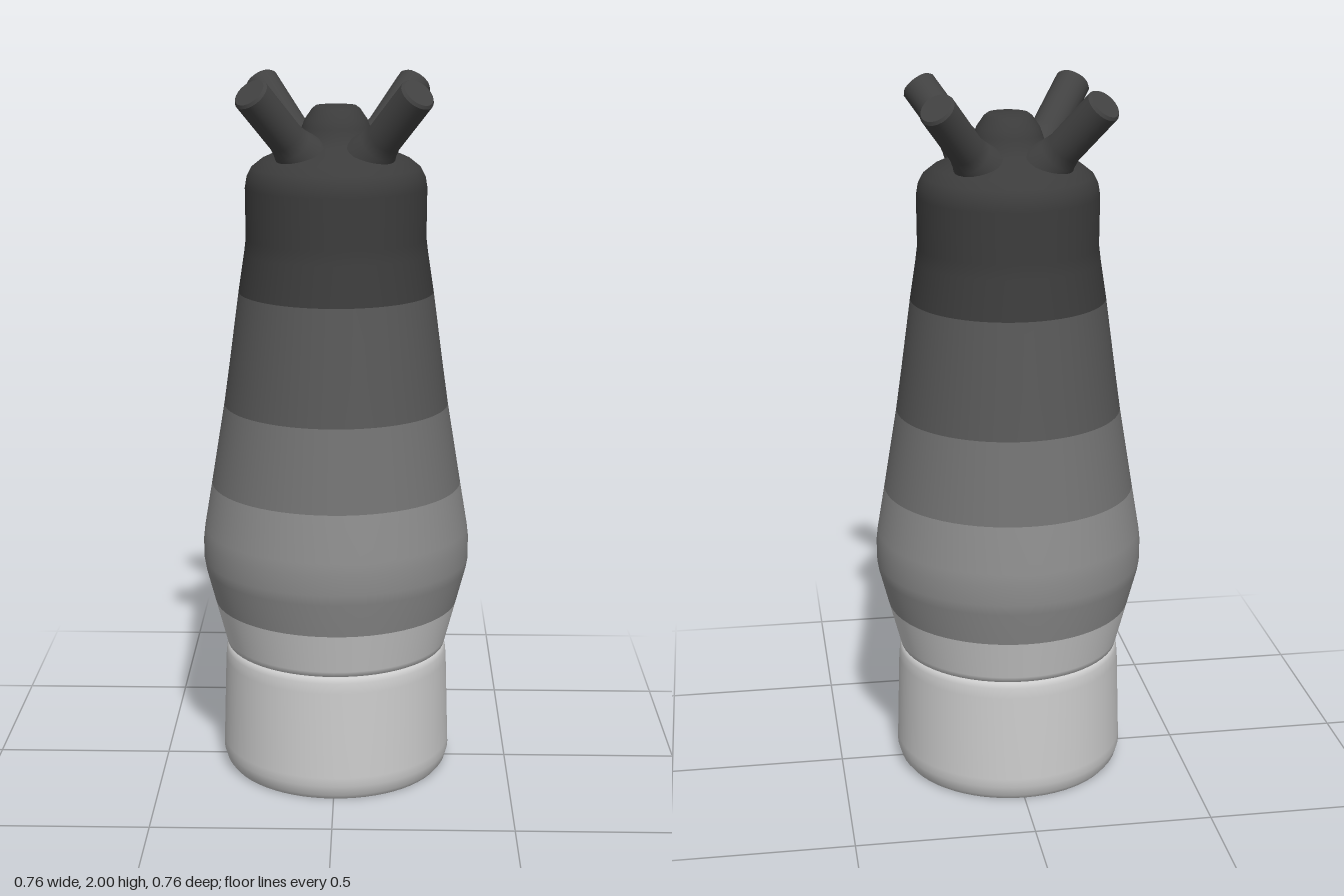
import * as THREE from 'three';

const SIDES = 64;

// Turned part from [radius, y] pairs; a repeated pair makes a crisp edge
function turned(name, color, profile, sides = SIDES) {
  const points = profile.map(([r, y]) => new THREE.Vector2(r, y));
  const mesh = new THREE.Mesh(
    new THREE.LatheGeometry(points, sides),
    new THREE.MeshStandardMaterial({ color, side: THREE.DoubleSide })
  );
  mesh.name = name;
  return mesh;
}

export function createModel() {
  const model = new THREE.Group();
  model.name = 'fourSpoutVessel';

  // Base cup with bevelled foot and rounded lip
  model.add(turned('base', 0xcccccc, [
    [0, 0], [0.31, 0], [0.31, 0], [0.322, 0.015], [0.331, 0.045], [0.33, 0.07],
    [0.322, 0.32], [0.319, 0.35], [0.313, 0.364], [0.30, 0.367],
  ]));

  // Body, shaded in bands from light at the seam to dark at the shoulder
  const body = new THREE.Group();
  body.name = 'body';
  const bands = [
    [0xbcbcbc, [[0.30, 0.368], [0.316, 0.37], [0.32, 0.385], [0.35, 0.50]]],
    [0x8c8c8c, [[0.35, 0.50], [0.376, 0.60], [0.381, 0.63], [0.381, 0.685],
      [0.377, 0.72], [0.355, 0.85]]],
    [0x727272, [[0.355, 0.85], [0.317, 1.08]]],
    [0x585858, [[0.317, 1.08], [0.30, 1.20], [0.273, 1.40]]],
    [0x3c3c3c, [[0.273, 1.40], [0.256, 1.51], [0.251, 1.55], [0.252, 1.69],
      [0.247, 1.72], [0.234, 1.745], [0.205, 1.768], [0.155, 1.79], [0.12, 1.808],
      [0.102, 1.83], [0.094, 1.855], [0.086, 1.876], [0.066, 1.905],
      [0.055, 1.913], [0, 1.916]]],
  ];
  bands.forEach(([color, profile], i) => body.add(turned(`bodyBand${i + 1}`, color, profile)));
  model.add(body);

  // Four angled spouts with flared roots, one per diagonal
  const up = new THREE.Vector3(0, 1, 0);
  for (const sx of [-1, 1]) {
    for (const sz of [-1, 1]) {
      const root = new THREE.Vector3(0.08 * sx, 1.764, 0.08 * sz);
      const tip = new THREE.Vector3(0.222 * sx, 1.964, 0.222 * sz);
      const axis = tip.clone().sub(root);
      const len = axis.length();
      const spout = turned('spout', 0x424242, [
        [0.075, 0], [0.068, 0.04], [0.056, 0.075], [0.05, 0.105],
        [0.05, len - 0.008], [0.05, len - 0.008], [0.044, len], [0.044, len], [0, len],
      ], 24);
      spout.position.copy(root);
      spout.quaternion.setFromUnitVectors(up, axis.normalize());
      model.add(spout);
    }
  }
  return model;
}
